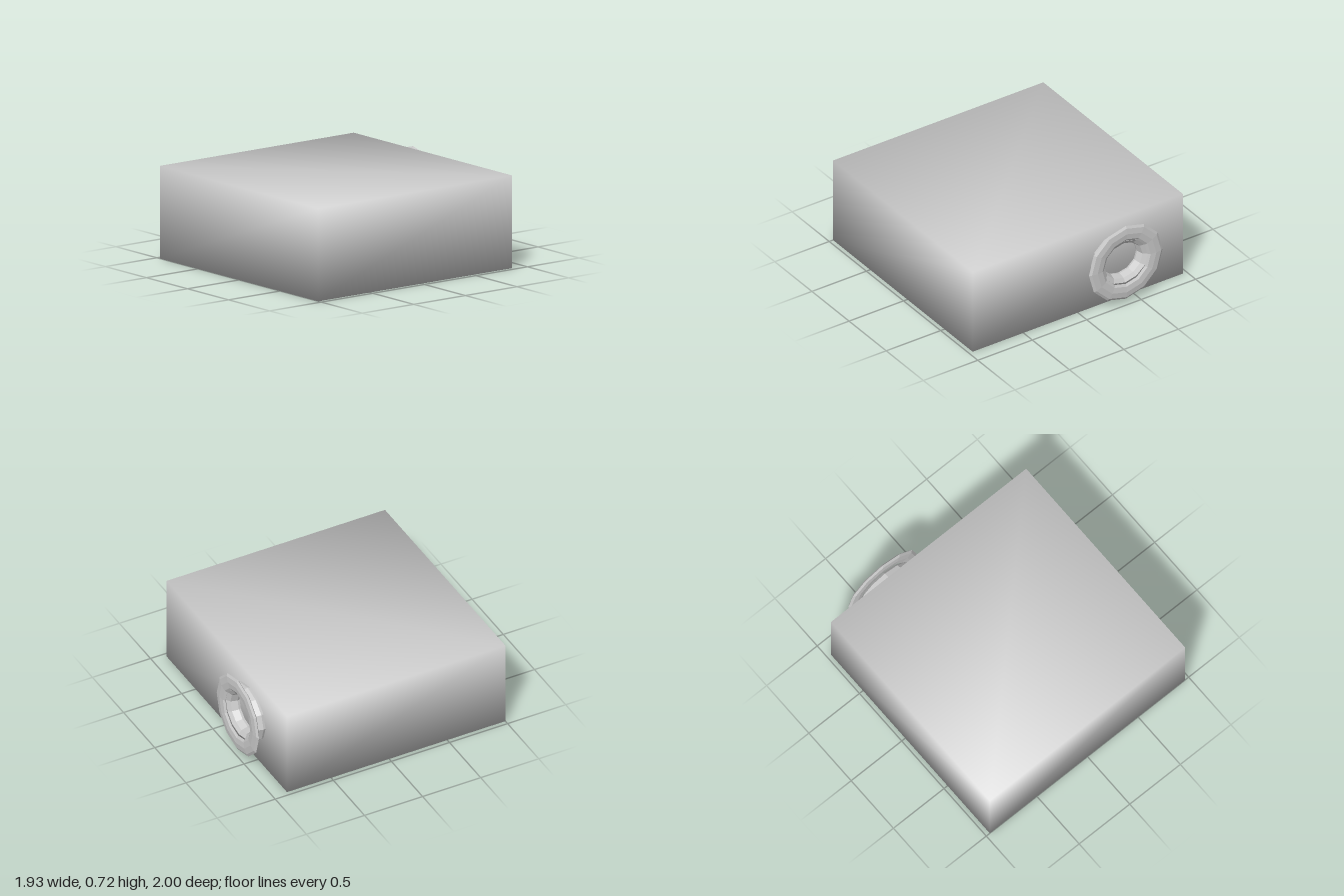
import * as THREE from 'three';
import { mergeVertices } from 'three/addons/utils/BufferGeometryUtils.js';

const grey = new THREE.MeshStandardMaterial({ color: 0xcccccc });
const greyFlat = new THREE.MeshStandardMaterial({ color: 0xcccccc, flatShading: true });

// Low-poly ring around the z axis, with an oval outline and an oval section.
function ring(name, inner, outerX, outerY, zMin, zMax) {
  const tube = (outerX - inner) / 2;
  const geo = new THREE.TorusGeometry(inner + tube, tube, 8, 12);
  geo.scale(1, outerY / outerX, (zMax - zMin) / (2 * tube));
  const mesh = new THREE.Mesh(geo, greyFlat);
  mesh.name = name;
  mesh.position.z = (zMin + zMax) / 2;
  return mesh;
}

export function createModel() {
  const model = new THREE.Group();
  model.name = 'boxWithPort';

  // Block with corners shared between faces, so its shading is smooth all round
  let box = new THREE.BoxGeometry(1.93, 0.72, 1.88);
  box.deleteAttribute('normal');
  box.deleteAttribute('uv');
  box = mergeVertices(box);
  box.computeVertexNormals();
  const body = new THREE.Mesh(box, grey);
  body.name = 'body';
  body.position.set(0, 0.36, 0.06);
  model.add(body);

  // Open port on the back: a bulging neck and a thin flange
  const port = new THREE.Group();
  port.name = 'port';
  port.position.set(-0.37, 0.375, 0);
  port.add(
    ring('neck', 0.16, 0.257, 0.23, -0.975, -0.825),
    ring('flange', 0.2, 0.338, 0.329, -1, -0.965)
  );
  model.add(port);

  return model;
}
